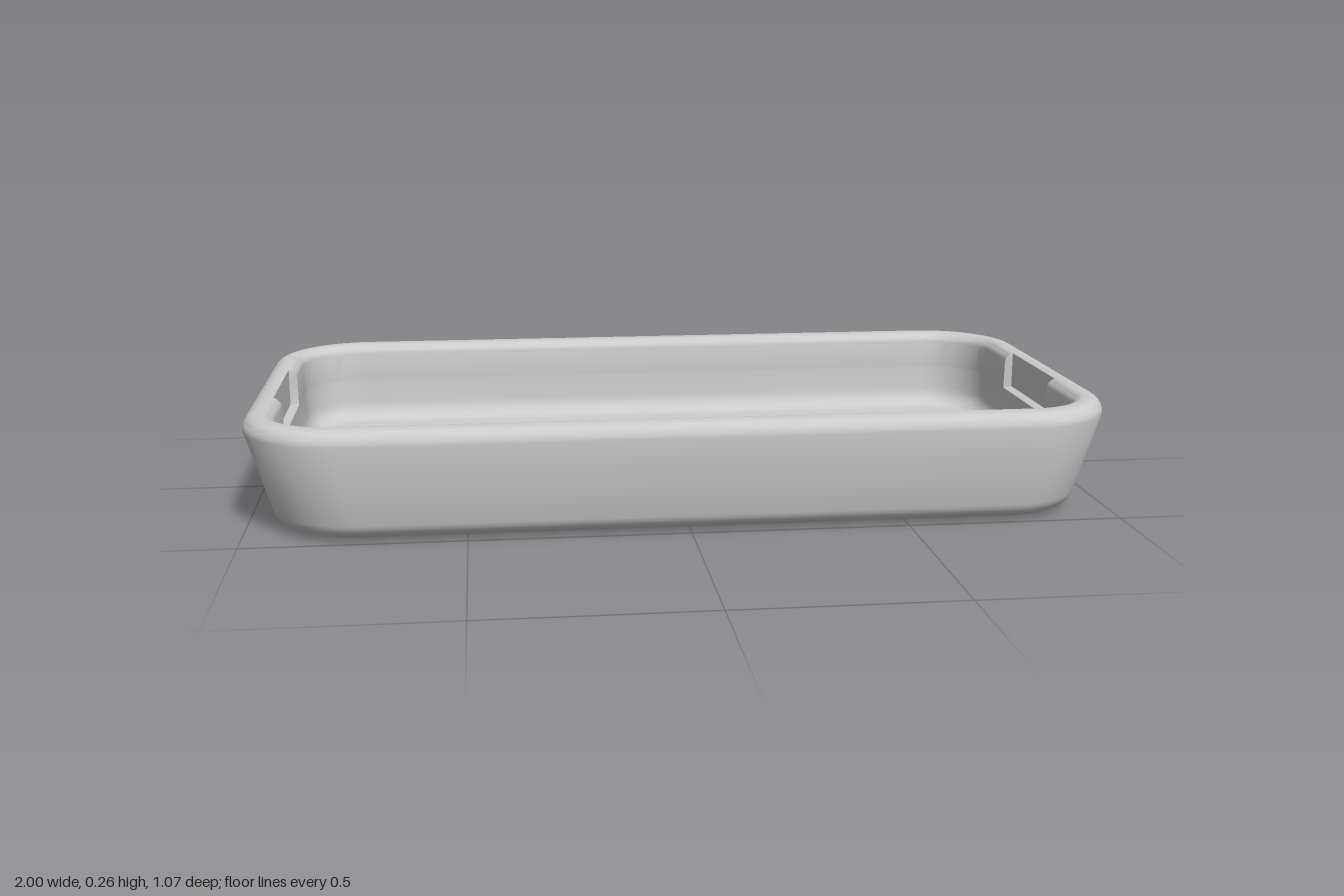
import * as THREE from 'three';
import { toCreasedNormals } from 'three/addons/utils/BufferGeometryUtils.js';

const SLOT = { half: 0.162, floor: 0.168, depth: 0.948 };
const CORNER_STEPS = 14;

// Rounded-rectangle ring; extra points on the short ends carry the slot edges.
function ring({ hx, hz, r, y, inner }) {
  const pts = [];
  const centres = [[1, 1], [-1, 1], [-1, -1], [1, -1]];
  centres.forEach(([sx, sz], q) => {
    for (let i = 0; i <= CORNER_STEPS; i++) {
      const a = (q + i / CORNER_STEPS) * Math.PI / 2;
      pts.push([sx * (hx - r) + r * Math.cos(a), y, sz * (hz - r) + r * Math.sin(a)]);
    }
    if (q % 2 === 0) return;
    const side = q === 1 ? -1 : 1;
    const fit = Math.min(1, (hz - r) / 0.25);
    for (const t of [1, 0.988, -0.988, -1]) {
      const cut = inner && y > SLOT.floor && Math.abs(t) < 1;
      const x = cut ? Math.max(hx, SLOT.depth) : hx;
      pts.push([side * x, y, -side * t * SLOT.half * fit]);
    }
  });
  return pts;
}

// Skin consecutive rings into one surface.
function loft(rings) {
  const n = rings[0].length;
  const index = [];
  for (let i = 0; i < rings.length - 1; i++) {
    for (let j = 0; j < n; j++) {
      const a = i * n + j, b = i * n + (j + 1) % n;
      index.push(a, a + n, b, b, a + n, b + n);
    }
  }
  const geo = new THREE.BufferGeometry();
  geo.setAttribute('position', new THREE.Float32BufferAttribute(rings.flat(2), 3));
  geo.setIndex(index);
  return toCreasedNormals(geo, 0.6);
}

export function createModel() {
  const group = new THREE.Group();
  group.name = 'tray';
  const profile = [];
  const add = (hx, hz, r, y, inner = false) => profile.push({ hx, hz, r, y, inner });
  // Quarter round: passes an angle's cosine and sine to the callback
  const quarter = (from, to, fn, steps = 7) => {
    for (let i = 0; i <= steps; i++) {
      const a = THREE.MathUtils.degToRad(from + (to - from) * i / steps);
      fn(Math.cos(a), Math.sin(a));
    }
  };

  // Slightly bowed underside and rounded bottom edge
  add(0, 0, 0, 0);
  quarter(-90, -15, (c, s) => {
    const o = 0.052 * (1 - c);
    add(0.946 - o, 0.512 - o, 0.21 - o, 0.056 + 0.05 * s);
  });
  // Sloping outer wall up to the rounded rim
  quarter(0, 90, (c, s) => {
    const o = 0.034 * (1 - c);
    add(1 - o, 0.535 - o, 0.23 - o, 0.228 + 0.034 * s);
  });
  // Inner side of the rim
  quarter(90, 0, (c, s) => {
    const o = 0.03 * (1 - c);
    add(0.928 + o, 0.454 + o, 0.145 + o, 0.232 + 0.03 * s, true);
  });
  // Inner wall with the slot ledge, then the fillet into the floor
  add(0.927, 0.453, 0.145, 0.17, true);
  add(0.927, 0.453, 0.145, 0.166, true);
  quarter(0, 90, (c, s) => {
    const o = 0.05 * (1 - c);
    add(0.922 - o, 0.446 - o, 0.145 - o, 0.11 - 0.05 * s, true);
  });
  add(0, 0, 0, 0.06, true);

  const tray = new THREE.Mesh(
    loft(profile.map(ring)),
    new THREE.MeshStandardMaterial({ color: 0xcccccc })
  );
  tray.name = 'trayBody';
  group.add(tray);
  return group;
}
